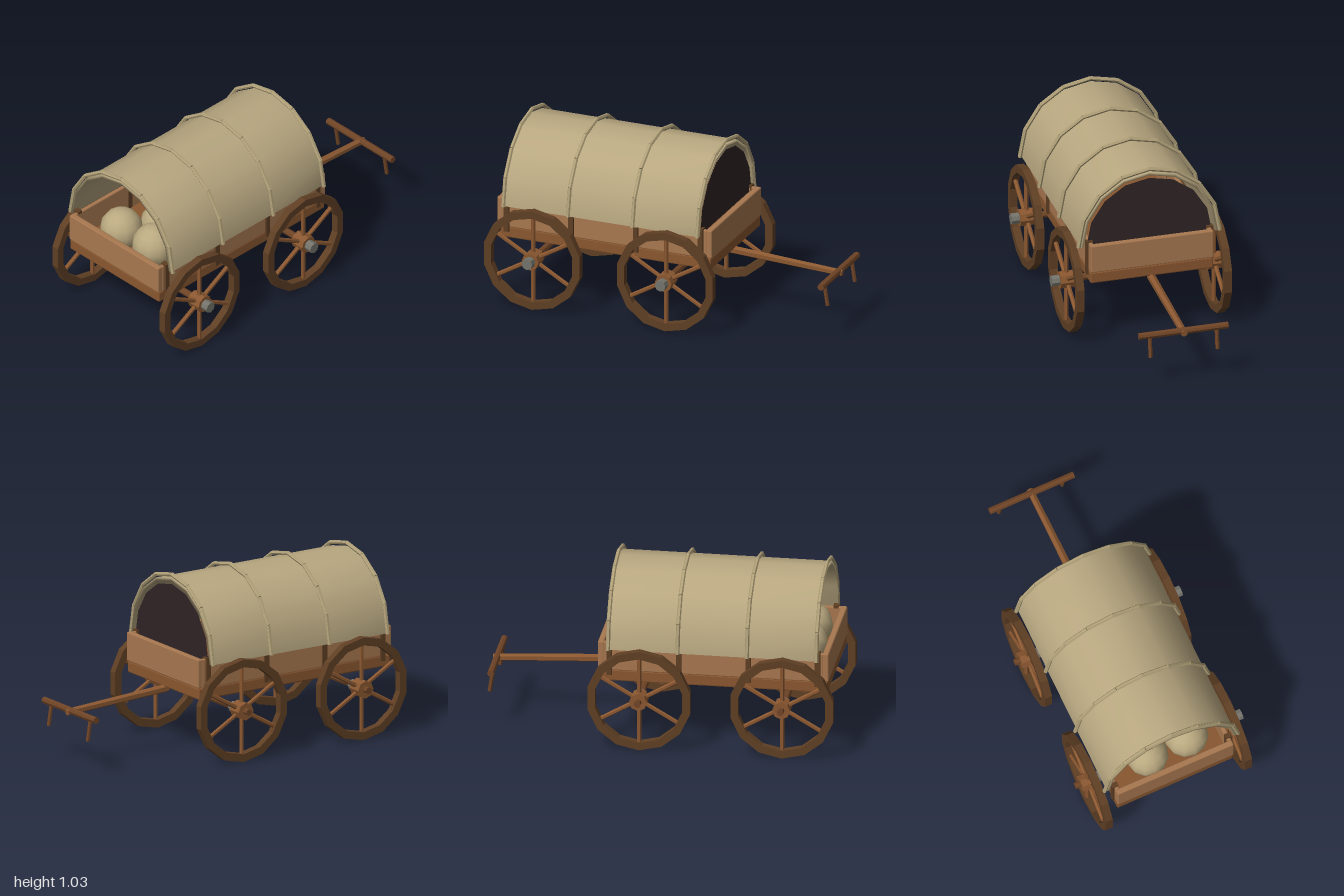
import * as THREE from 'three';
import { mergeVertices } from 'three/addons/utils/BufferGeometryUtils.js';
import { RoundedBoxGeometry } from 'three/addons/geometries/RoundedBoxGeometry.js';

const mat = (name, color, flatShading = false) => {
  const m = new THREE.MeshStandardMaterial({ color, flatShading });
  m.name = name;
  return m;
};

export function createModel() {
  const plank = mat('light plank wood', 0xa87850);
  const wood = mat('mid brown wood', 0x8a5730, true);
  const dark = mat('dark brown wood', 0x5f3f24, true);
  const axleWood = mat('axle wood', 0x6f4426, true);
  const cloth = mat('canvas cloth', 0xb8a780);
  const hoopWood = mat('pale hoop wood', 0xb0a078, true);
  const sackCloth = mat('sack cloth', 0xbaa980);
  const shade = mat('dark curtain', 0x302425);
  shade.side = THREE.DoubleSide;
  const metal = mat('grey metal', 0x74746c, true);

  const root = new THREE.Group();
  root.name = 'coveredWagon';
  const wagon = new THREE.Group();
  wagon.name = 'wagon';
  wagon.position.x = -0.007;
  root.add(wagon);

  const add = (name, geo, material, x = 0, y = 0, z = 0, parent = wagon) => {
    const m = new THREE.Mesh(geo, material);
    m.name = name;
    m.position.set(x, y, z);
    parent.add(m);
    return m;
  };
  const box = (w, h, d, r = 0.008) => new RoundedBoxGeometry(w, h, d, 1, r);

  // Round rod between two points
  const rod = (name, a, b, r, material, sides = 8, r2 = r, parent = wagon) => {
    const p = new THREE.Vector3(...a), q = new THREE.Vector3(...b);
    const m = add(name, new THREE.CylinderGeometry(r2, r, p.distanceTo(q), sides), material, 0, 0, 0, parent);
    m.position.copy(p).add(q).multiplyScalar(0.5);
    m.quaternion.setFromUnitVectors(new THREE.Vector3(0, 1, 0), q.sub(p).normalize());
    return m;
  };

  // Points on the upper half of an ellipse, from +x to -x
  const BASE = 0.578;
  const arch = (a, b, n = 8) => Array.from({ length: n + 1 }, (_, i) => {
    const t = (i / n) * Math.PI;
    return new THREE.Vector2(a * Math.cos(t), BASE + b * Math.sin(t));
  });

  // Wagon bed
  add('bedBase', box(0.716, 0.068, 1.295), wood, 0, 0.407, 0.308);
  for (const s of [-1, 1]) {
    add('sideBoard', box(0.026, 0.172, 1.25), plank, s * 0.345, 0.522, 0.308);
    add('endBoard', box(0.716, 0.168, 0.036), plank, 0, 0.525, 0.308 + s * 0.636);
  }

  // Hoops with their side posts
  for (const z of [0.9, 0.507, 0.114, -0.28]) {
    const pts = arch(0.412, 0.437);
    for (let i = 0; i < pts.length - 1; i++) {
      const p = pts[i], q = pts[i + 1];
      rod('hoopSegment', [p.x, p.y, z], [q.x, q.y, z], 0.012, hoopWood, 6);
    }
    for (const s of [-1, 1]) {
      add('hoopPost', new THREE.BoxGeometry(0.038, 0.204, 0.03), dark, s * 0.351, 0.514, z);
    }
  }

  // Cloth cover: a thick arched shell with soft normals
  const shell = new THREE.Shape([...arch(0.4, 0.417), ...arch(0.384, 0.4).reverse()]);
  let shellGeo = new THREE.ExtrudeGeometry(shell, { depth: 1.19, steps: 3, bevelEnabled: false });
  shellGeo.deleteAttribute('uv');
  shellGeo.deleteAttribute('normal');
  shellGeo = mergeVertices(shellGeo);
  shellGeo.computeVertexNormals();
  add('clothCover', shellGeo, cloth, 0, 0, -0.285);

  // Dark curtain closing the rear of the cover
  add('curtain', new THREE.ShapeGeometry(new THREE.Shape(arch(0.366, 0.381))), shade, 0, 0, -0.28);

  // Sacks
  for (const [x, y, z, r] of [[-0.104, 0.572, 0.8, 0.122], [0.144, 0.578, 0.785, 0.127], [0.012, 0.565, 0.6, 0.12]]) {
    add('sack', new THREE.SphereGeometry(r, 12, 8), sackCloth, x, y, z);
  }

  // Wheel, built facing +x
  const polygon = (r) => Array.from({ length: 14 }, (_, i) => {
    const t = Math.PI / 2 + (i / 14) * Math.PI * 2;
    return new THREE.Vector2(r * Math.cos(t), r * Math.sin(t));
  });
  const rimShape = new THREE.Shape(polygon(0.298));
  rimShape.holes.push(new THREE.Path(polygon(0.253)));
  const rimGeo = new THREE.ExtrudeGeometry(rimShape, { depth: 0.044, bevelEnabled: false });
  rimGeo.translate(0, 0, -0.022);
  rimGeo.rotateY(Math.PI / 2);
  const wheel = (x, z) => {
    const g = new THREE.Group();
    g.name = 'wheel';
    g.position.set(x, 0.298, z);
    wagon.add(g);
    add('rim', rimGeo, dark, 0, 0, 0, g);
    rod('hub', [-0.044, 0, 0], [0.044, 0, 0], 0.051, wood, 8, 0.051, g);
    rod('hubCap', [0.04, 0, 0], [0.09, 0, 0], 0.032, metal, 8, 0.032, g);
    for (let i = 0; i < 6; i++) {
      const t = Math.PI / 2 + (i * Math.PI) / 3;
      const c = Math.cos(t), s = Math.sin(t);
      rod('spoke', [0, 0.03 * s, 0.03 * c], [0, 0.262 * s, 0.262 * c], 0.013, wood, 6, 0.013, g);
    }
  };

  // Axles and wheels
  for (const z of [0.71, -0.1]) {
    rod('axle', [-0.507, 0.3, z], [0.47, 0.3, z], 0.02, axleWood, 8);
    for (const x of [-0.43, 0.43]) wheel(x, z);
  }

  // Drawbar with cross handle and pegs
  rod('drawbar', [0, 0.362, -0.31], [0, 0.325, -0.99], 0.024, wood, 6, 0.02);
  rod('handle', [-0.26, 0.332, -0.967], [0.26, 0.332, -0.967], 0.02, axleWood, 8);
  for (const s of [-1, 1]) {
    rod('handlePeg', [s * 0.195, 0.33, -0.962], [s * 0.195, 0.2, -0.982], 0.012, axleWood, 6);
  }

  return root;
}
